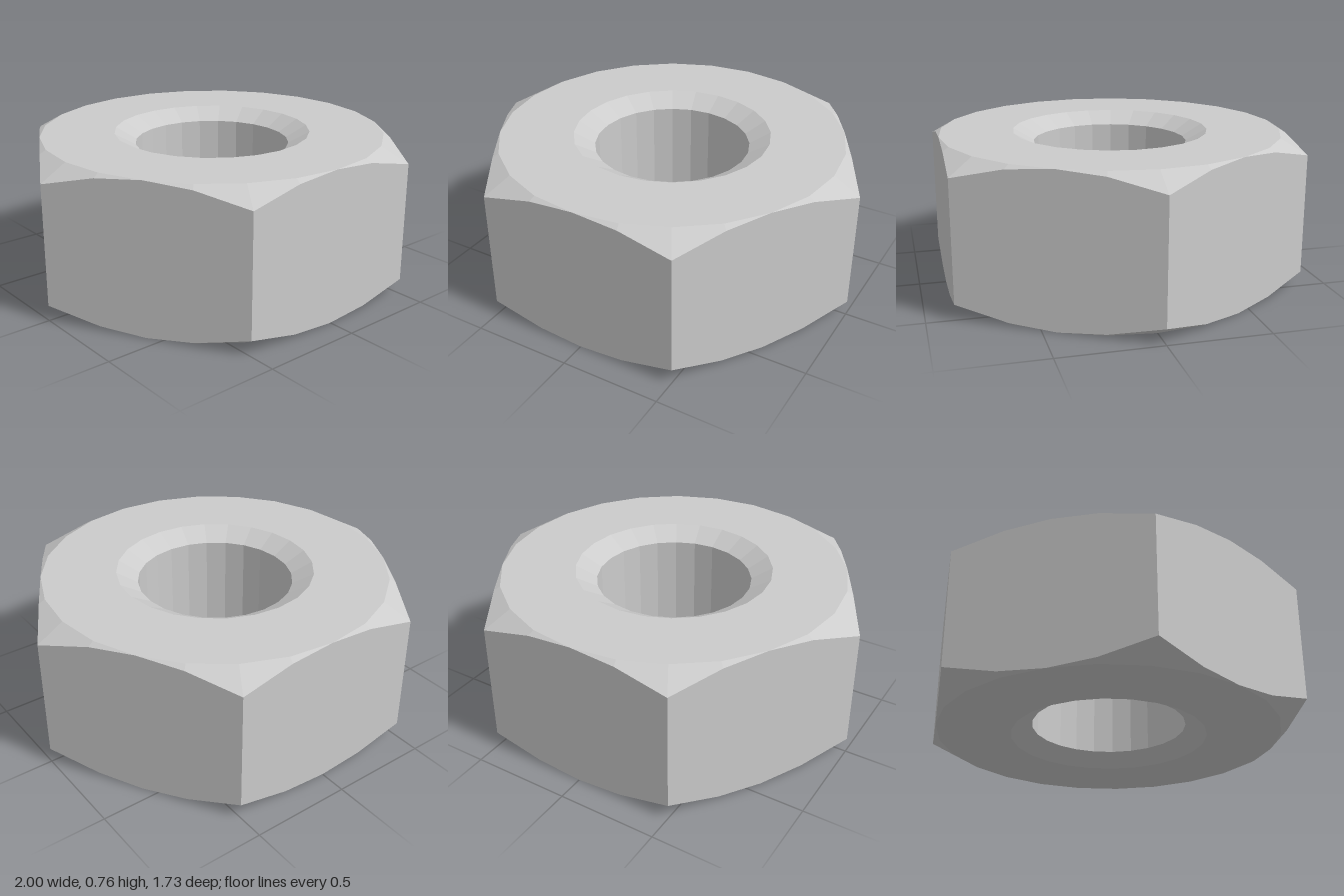
import * as THREE from 'three';

const SEGMENTS = 24;      // 15 degree steps, four per hexagon side
const HEIGHT = 0.757;
const FLAT = 0.866;       // centre to flat side
const BORE = 0.39;
const SINK = 0.495;       // countersink radius
const SINK_DEPTH = 0.06;
const SLOPE = Math.tan(Math.PI / 6); // corner chamfer slope

// Closed radial cross-section [radius, y] at step j
function section(j) {
  const offset = (Math.abs(((j + 2) % 4) - 2) * Math.PI * 2) / SEGMENTS;
  const outer = FLAT / Math.cos(offset);
  const drop = (outer - FLAT) * SLOPE;
  return [
    [outer, drop], [outer, HEIGHT - drop],        // hexagon side
    [FLAT, HEIGHT], [SINK, HEIGHT],               // chamfer, top face
    [BORE, HEIGHT - SINK_DEPTH], [BORE, SINK_DEPTH], // countersink, bore
    [SINK, 0], [FLAT, 0],                         // countersink, bottom face
  ];
}

function nutGeometry() {
  const positions = [];
  const ring = (j) => {
    const a = (j / SEGMENTS) * Math.PI * 2;
    return section(j).map(([r, y]) => new THREE.Vector3(r * Math.sin(a), y, r * Math.cos(a)));
  };
  const triangle = (a, b, c) => {
    // skip slivers where the chamfer vanishes at the middle of each side
    if (new THREE.Triangle(a, b, c).getArea() < 1e-7) return;
    for (const p of [a, b, c]) positions.push(p.x, p.y, p.z);
  };
  for (let j = 0; j < SEGMENTS; j++) {
    const p = ring(j), q = ring(j + 1);
    for (let i = 0; i < p.length; i++) {
      const n = (i + 1) % p.length;
      triangle(p[i], q[i], q[n]);
      triangle(p[i], q[n], p[n]);
    }
  }
  const geometry = new THREE.BufferGeometry();
  geometry.setAttribute('position', new THREE.Float32BufferAttribute(positions, 3));
  geometry.computeVertexNormals();
  return geometry;
}

export function createModel() {
  const group = new THREE.Group();
  group.name = 'hexNut';
  const material = new THREE.MeshStandardMaterial({ color: 0xcccccc, flatShading: true });
  const nut = new THREE.Mesh(nutGeometry(), material);
  nut.name = 'nutBody';
  group.add(nut);
  return group;
}
